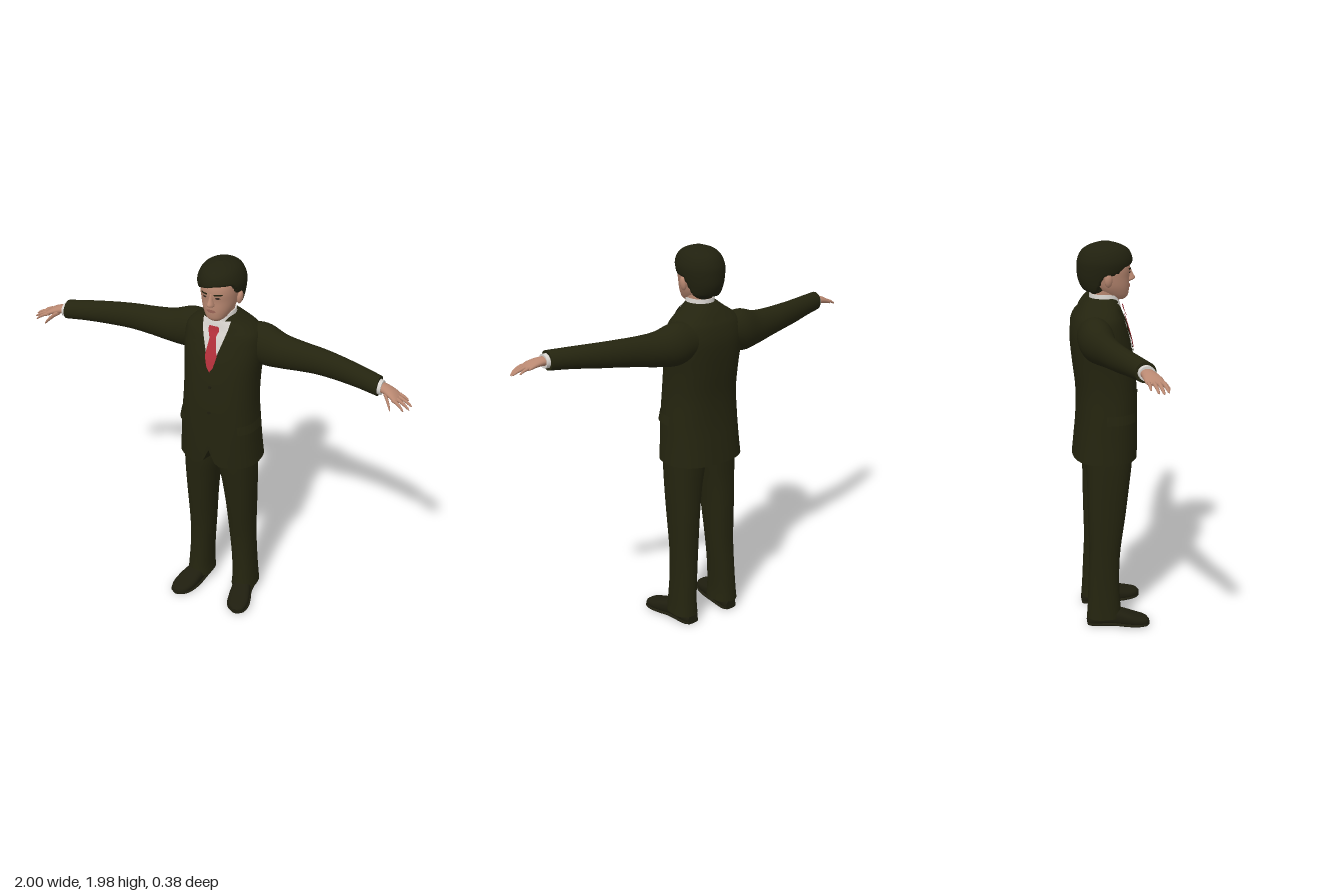
import * as THREE from 'three';

const mat = (name, color) => {
  const m = new THREE.MeshStandardMaterial({ color, side: THREE.DoubleSide });
  m.name = name;
  return m;
};
const SUIT = mat('dark olive cloth', 0x24240f), HAIR = mat('dark hair', 0x21210f);
const SHOE = mat('shoe leather', 0x1f1e0f), SKIN = mat('skin', 0xb98871);
const SHIRT = mat('shirt white', 0xd6d2cd), TIE = mat('tie red', 0xb5303b);
const LIP = mat('lip', 0x9c6658), EYE = mat('eye', 0x3a2c24);

// Superellipse point on a unit circle
const se = (a, p) => [Math.cos(a), Math.sin(a)].map(v => Math.sign(v) * Math.abs(v) ** (2 / p));

// Smoothly resample a short list of sections
function resample(secs, n) {
  const out = [], m = secs.length - 1;
  for (let i = 0; i <= n; i++) {
    const t = (i / n) * m, k = Math.min(Math.floor(t), m - 1), f = t - k;
    out.push(secs[k].map((b, j) => {
      const c = secs[k + 1][j];
      const a = k > 0 ? secs[k - 1][j] : 2 * b - c, d = k < m - 1 ? secs[k + 2][j] : 2 * c - b;
      return b + 0.5 * f * (c - a + f * (2 * a - 5 * b + 4 * c - d + f * (3 * (b - c) + d - a)));
    }));
  }
  return out;
}

// Closed skin through rings of points, capped at both ends, facing outwards
function loft(name, rings, material) {
  const pos = [], idx = [], n = rings[0].length, last = rings.length - 1;
  rings.forEach(r => r.forEach(p => pos.push(...p)));
  for (let i = 0; i < last; i++) for (let j = 0; j < n; j++) {
    const a = i * n + j, b = i * n + (j + 1) % n;
    idx.push(a, b, a + n, b, b + n, a + n);
  }
  [0, last].forEach(e => {
    const base = pos.length / 3, c = [0, 0, 0];
    rings[e].forEach(p => { pos.push(...p); p.forEach((v, k) => { c[k] += v / n; }); });
    pos.push(...c);
    for (let j = 0; j < n; j++) {
      const a = base + j, b = base + (j + 1) % n;
      idx.push(...(e ? [a, b, base + n] : [b, a, base + n]));
    }
  });
  const P = i => new THREE.Vector3().fromArray(pos, i * 3);
  let vol = 0;
  for (let i = 0; i < idx.length; i += 3) vol += P(idx[i]).dot(P(idx[i + 1]).cross(P(idx[i + 2])));
  if (vol < 0) idx.reverse();
  return finish(name, pos, idx, material);
}

function finish(name, pos, idx, material) {
  const g = new THREE.BufferGeometry();
  g.setAttribute('position', new THREE.Float32BufferAttribute(pos, 3));
  g.setIndex(idx);
  g.computeVertexNormals();
  const mesh = new THREE.Mesh(g, material);
  mesh.name = name;
  return mesh;
}

// Open sheet from a function of u and v
function sheet(name, fn, nu, nv, material) {
  const pos = [], idx = [];
  for (let j = 0; j <= nv; j++) for (let i = 0; i <= nu; i++) pos.push(...fn(i / nu, j / nv));
  for (let j = 0; j < nv; j++) for (let i = 0; i < nu; i++) {
    const a = j * (nu + 1) + i, b = a + nu + 1;
    idx.push(a, a + 1, b, a + 1, b + 1, b);
  }
  return finish(name, pos, idx, material);
}

// Horizontal ring: section [y, halfWidth, zFront, zBack, xCentre]
const ringY = ([y, hx, zf, zb, cx = 0], n, p, s = 1) => Array.from({ length: n }, (_, j) => {
  const [c, d] = se((j / n) * Math.PI * 2, p);
  return [s * (cx + hx * c), y, (zf + zb) / 2 + (zf - zb) / 2 * d];
});
// Ring across an arm: section [x, yCentre, yRadius, zCentre, zRadius]
const ringX = ([x, yc, ry, zc, rz], n, s) => Array.from({ length: n }, (_, j) => {
  const a = (j / n) * Math.PI * 2;
  return [s * x, yc + ry * Math.cos(a), zc + rz * Math.sin(a)];
});

// Linear lookup of a section at height y
function at(secs, y) {
  let k = 0;
  while (k < secs.length - 2 && secs[k + 1][0] < y) k++;
  const f = THREE.MathUtils.clamp((y - secs[k][0]) / (secs[k + 1][0] - secs[k][0]), 0, 1);
  return secs[k].map((v, i) => v + (secs[k + 1][i] - v) * f);
}
// Thin plate hugging the front of a body: rows [y, xLeft, xRight], listed upwards
function plate(name, secs, p, rows, off, material) {
  return sheet(name, (u, v) => {
    const y = rows[0][0] + v * (rows.at(-1)[0] - rows[0][0]);
    const [, x0, x1] = at(rows, y), x = x0 + u * (x1 - x0), [, hx, zf, zb] = at(secs, y);
    const w = Math.max(0, 1 - Math.abs(x / hx) ** p) ** (1 / p);
    return [x, y, (zf + zb) / 2 + (zf - zb) / 2 * w + off];
  }, 8, 24, material);
}

export function createModel() {
  const man = new THREE.Group();
  man.name = 'suitedMan';
  const add = (...m) => man.add(...m);

  // Jacket body with an opening at the front hem
  const body = resample([[0.9, 0.215, 0.14, -0.185], [1, 0.207, 0.142, -0.175], [1.12, 0.2, 0.142, -0.165],
    [1.25, 0.19, 0.138, -0.165], [1.38, 0.19, 0.125, -0.18], [1.48, 0.198, 0.108, -0.19], [1.55, 0.2, 0.09, -0.19],
    [1.61, 0.19, 0.072, -0.175], [1.645, 0.16, 0.058, -0.155], [1.68, 0.11, 0.05, -0.13], [1.71, 0.072, 0.04, -0.1]], 50);
  add(loft('jacketBody', body.map(s => ringY(s, 64, 2.4).map(([x, y, z]) =>
    [x, z > 0 ? y + 0.09 * Math.exp(-((x / 0.025) ** 2)) * Math.max(0, 1 - (y - 0.9) / 0.3) : y, z])), SUIT));

  // Shirt front, tie and jacket trim
  const open = [[1.44, 0, 0], [1.55, -0.036, 0.036], [1.64, -0.064, 0.064], [1.69, -0.072, 0.072]];
  add(plate('shirtFront', body, 2.4, open, 0.005, SHIRT));
  add(plate('tie', body, 2.4, [[1.44, 0, 0], [1.465, -0.017, 0.017], [1.52, -0.031, 0.031], [1.62, -0.015, 0.015]], 0.012, TIE));
  add(plate('tieKnot', body, 2.4, [[1.612, -0.015, 0.015], [1.65, -0.029, 0.029], [1.668, -0.024, 0.024]], 0.019, TIE));
  add(plate('frontEdge', body, 2.4, [[1.02, -0.008, 0.02], [1.44, -0.008, 0.02]], 0.004, SUIT));
  [1.22, 1.36].forEach(y => {
    const b = new THREE.Mesh(new THREE.CylinderGeometry(0.008, 0.008, 0.006, 12), SHOE);
    b.name = 'jacketButton';
    b.rotation.x = Math.PI / 2;
    b.position.set(0.006, y, at(body, y)[2] + 0.006);
    add(b);
  });

  // Neck and shirt collar, lower at the throat
  add(loft('neck', resample([[1.6, 0.062, 0.05, -0.085], [1.68, 0.06, 0.052, -0.085], [1.8, 0.062, 0.05, -0.09]], 8)
    .map(s => ringY(s, 32, 2)), SKIN));
  add(loft('shirtCollar', [[1.62, 0.085, 0.064, -0.1], [1.67, 0.076, 0.062, -0.098], [1.73, 0.067, 0.053, -0.094]]
    .map((s, i) => ringY(s, 48, 2).map(([x, y, z]) =>
      [x, z > 0 ? y - i * 0.028 * Math.exp(-((x / 0.035) ** 2)) : y, z])), SHIRT));

  // Head with chin, nose and face details
  const head = resample([[1.7, 0.03, 0.078, 0.01], [1.715, 0.048, 0.094, -0.02], [1.74, 0.064, 0.1, -0.06],
    [1.77, 0.077, 0.102, -0.09], [1.81, 0.086, 0.102, -0.11], [1.85, 0.091, 0.106, -0.12], [1.89, 0.09, 0.1, -0.12],
    [1.93, 0.078, 0.075, -0.11], [1.96, 0.04, 0.03, -0.07]], 32);
  add(loft('head', head.map(s => ringY(s, 48, 2.2)), SKIN));
  add(loft('nose', resample([[1.785, 0.009, 0.108, 0.08], [1.792, 0.018, 0.122, 0.08], [1.802, 0.017, 0.132, 0.08],
    [1.825, 0.011, 0.12, 0.08], [1.855, 0.008, 0.107, 0.08]], 12).map(s => ringY(s, 16, 2)), SKIN));
  add(plate('mouth', head, 2.2, [[1.755, -0.012, 0.012], [1.763, -0.026, 0.026], [1.771, -0.012, 0.012]], 0.004, LIP));

  // Hair: a full shell drawn inside the head below the hairline
  const hair = resample([[1.725, 0.05, -0.03, -0.09], [1.75, 0.082, 0.03, -0.125], [1.8, 0.1, 0.08, -0.15],
    [1.86, 0.112, 0.111, -0.156], [1.9, 0.111, 0.117, -0.152], [1.94, 0.094, 0.1, -0.132], [1.965, 0.066, 0.062, -0.095],
    [1.981, 0.02, 0.01, -0.045]], 48);
  const step = THREE.MathUtils.smoothstep;
  add(loft('hair', hair.map(s => ringY(s, 80, 2).map(([x, y, z]) => {
    const zc = (s[2] + s[3]) / 2, a = Math.abs(Math.atan2(x, z - zc));
    const line = 1.885 + 0.3 * Math.min(x, 0.03) * (a < 1 ? 1 : 0.3) - 0.05 * step(a, 0.75, 1.15) - 0.09 * step(a, 1.55, 1.9);
    const k = 0.72 + 0.28 * step(y, line - 0.006, line + 0.006);
    return [x * k, y, zc + (z - zc) * k];
  })), HAIR));

  [-1, 1].forEach(s => {
    const side = s > 0 ? 'left' : 'right';
    const span = (y, a, b) => s > 0 ? [y, a, b] : [y, -b, -a];

    // Brow, eye and ear
    add(plate(side + 'Brow', head, 2.2, [span(1.848, 0.018, 0.05), span(1.856, 0.016, 0.058)], 0.004, HAIR));
    add(plate(side + 'Eye', head, 2.2, [span(1.829, 0.03, 0.038), span(1.834, 0.021, 0.047), span(1.839, 0.027, 0.04)], 0.003, EYE));
    const ear = new THREE.Mesh(new THREE.SphereGeometry(1, 16, 12), SKIN);
    ear.name = side + 'Ear';
    ear.scale.set(0.014, 0.034, 0.019);
    ear.position.set(s * 0.096, 1.805, -0.012);
    ear.rotation.z = -s * 0.15;
    add(ear);

    // Lapel with a notch, and a pocket flap wrapped round the side
    add(plate(side + 'Lapel', body, 2.4, [span(1.43, 0, 0.006), span(1.5, 0.02, 0.07), span(1.575, 0.044, 0.115),
      span(1.58, 0.046, 0.085), span(1.6, 0.052, 0.105), span(1.65, 0.066, 0.1), span(1.69, 0.072, 0.085)], 0.008, SUIT));
    add(sheet(side + 'PocketFlap', (u, v) => {
      const y = 1.105 + 0.045 * v, [, hx, zf, zb] = at(body, y), [c, d] = se(-0.1 + 0.95 * u, 2.4);
      const k = 1.045 - 0.03 * v;
      return [s * hx * c * k, y, (zf + zb) / 2 + (zf - zb) / 2 * d * k];
    }, 14, 3, SUIT));

    // Sleeve and shirt cuff
    add(loft(side + 'Sleeve', resample([[0.1, 1.55, 0.085, -0.09, 0.08], [0.2, 1.54, 0.106, -0.085, 0.086],
      [0.3, 1.53, 0.087, -0.073, 0.073], [0.4, 1.535, 0.075, -0.06, 0.062], [0.5, 1.542, 0.067, -0.045, 0.056],
      [0.6, 1.546, 0.061, -0.022, 0.052], [0.72, 1.55, 0.053, 0.014, 0.05], [0.83, 1.55, 0.048, 0.05, 0.047]], 36)
      .map(r => ringX(r, 32, s)), SUIT));
    add(loft(side + 'Cuff', [[0.8, 1.55, 0.037, 0.045, 0.038], [0.847, 1.548, 0.034, 0.055, 0.037]].map(r => ringX(r, 24, s)), SHIRT));

    // Hand: palm, four fingers and thumb
    add(loft(side + 'Palm', resample([[0.82, 1.548, 0.024, 0.05, 0.03], [0.86, 1.549, 0.021, 0.058, 0.033],
      [0.9, 1.54, 0.018, 0.07, 0.041], [0.925, 1.53, 0.013, 0.076, 0.042], [0.938, 1.525, 0.006, 0.078, 0.034]], 14)
      .map(r => ringX(r, 20, s)), SKIN));
    const digit = (name, a, b, r) => add(loft(side + name, [0, 0.35, 0.7, 0.92, 1].map((t, i) => ringX([a[0] + (b[0] - a[0]) * t,
      a[1] + (b[1] - a[1]) * t + 0.008 * Math.sin(Math.PI * t), r * [1, 1, 0.85, 0.6, 0.15][i],
      a[2] + (b[2] - a[2]) * t, r * [1, 1, 0.85, 0.6, 0.15][i]], 10, s)), SKIN));
    digit('IndexFinger', [0.91, 1.531, 0.106], [0.975, 1.497, 0.128], 0.0095);
    digit('MiddleFinger', [0.91, 1.532, 0.086], [0.995, 1.497, 0.104], 0.0095);
    digit('RingFinger', [0.91, 1.532, 0.066], [1, 1.502, 0.08], 0.009);
    digit('LittleFinger', [0.91, 1.532, 0.046], [0.975, 1.51, 0.05], 0.008);
    digit('Thumb', [0.865, 1.538, 0.078], [0.917, 1.493, 0.142], 0.013);

    // Trouser leg: [y, inner x, outer x, zFront, zBack]
    const leg = [[1, 0, 0.185, 0.11, -0.14], [0.88, 0, 0.19, 0.105, -0.13], [0.75, 0.02, 0.19, 0.09, -0.122],
      [0.6, 0.037, 0.187, 0.072, -0.12], [0.4, 0.05, 0.184, 0.045, -0.115], [0.25, 0.062, 0.187, 0.039, -0.12],
      [0.12, 0.068, 0.195, 0.044, -0.125], [0.045, 0.064, 0.202, 0.05, -0.13]];
    add(loft(side + 'TrouserLeg', resample(leg, 36).map(([y, a, b, f, k]) =>
      ringY([y, (b - a) / 2, f, k, (a + b) / 2], 32, 2.3, s)), SUIT));

    // Shoe upper and sole: [z, xCentre, halfWidth, height]
    const shoe = resample([[-0.128, 0.128, 0.03, 0.05], [-0.1, 0.13, 0.044, 0.075], [0, 0.138, 0.048, 0.09],
      [0.06, 0.15, 0.056, 0.078], [0.12, 0.163, 0.058, 0.058], [0.17, 0.172, 0.043, 0.045], [0.19, 0.176, 0.015, 0.03]], 24);
    const shoeRings = (wide, height) => shoe.map(([z, cx, hw, h]) => Array.from({ length: 24 }, (_, j) => {
      const [c, d] = se((j / 24) * Math.PI * 2, 2.6), H = height || h;
      return [s * (cx + hw * wide * c), H / 2 * (1 + d), z];
    }));
    add(loft(side + 'ShoeUpper', shoeRings(1, 0), SHOE), loft(side + 'ShoeSole', shoeRings(1.1, 0.02), SHOE));
  });
  return man;
}
